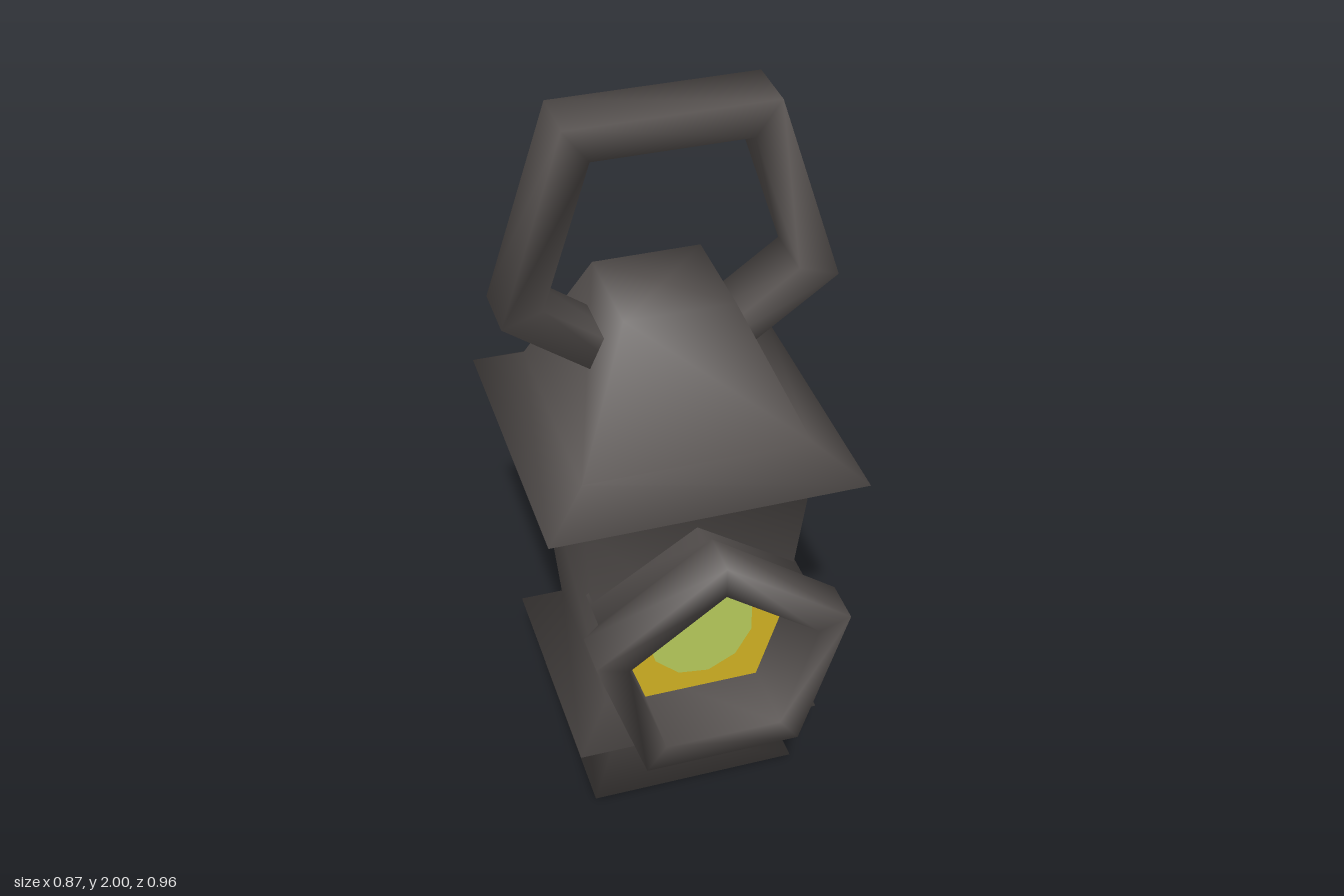
import * as THREE from 'three';
import { mergeVertices } from 'three/addons/utils/BufferGeometryUtils.js';

const iron = new THREE.MeshStandardMaterial({ color: 0x585351 });
iron.name = 'dark iron';
const amber = new THREE.MeshStandardMaterial({ color: 0xcfb022 });
amber.name = 'amber glass';
const glow = new THREE.MeshStandardMaterial({ color: 0xb6c95a });
glow.name = 'green glow';

// Few-sided turned form with welded, fully smooth normals
function turned(profile, sides, phiStart) {
  const g = new THREE.LatheGeometry(profile.map(([r, y]) => new THREE.Vector2(r, y)), sides, phiStart);
  g.deleteAttribute('uv');
  g.deleteAttribute('normal');
  const welded = mergeVertices(g, 1e-4);
  welded.computeVertexNormals();
  return welded;
}

export function createModel() {
  const model = new THREE.Group();
  const add = (name, geometry, material, x, y, z) => {
    const mesh = new THREE.Mesh(geometry, material);
    mesh.name = name;
    mesh.position.set(x, y, z);
    model.add(mesh);
    return mesh;
  };

  // Square body: foot, lower ledge, tapered housing, eaves and roof (half width, height)
  const body = [
    [0, 0], [0.29, 0], [0.2, 0.14], [0.34, 0.23], [0.24, 0.32],
    [0.302, 0.985], [0.42, 1.06], [0.302, 1.14], [0.145, 1.49], [0, 1.49],
  ].map(([w, y]) => [w * Math.SQRT2, y]);
  add('lanternBody', turned(body, 4, Math.PI / 4), iron, 0, 0, -0.058);

  // Five-sided carrying ring, its lowest corner sunk in the roof
  const ring = [[0.347, -0.08], [0.459, -0.08], [0.459, 0.08], [0.347, 0.08], [0.347, -0.08]];
  add('carryingRing', turned(ring, 5, 0).rotateX(Math.PI / 2), iron, 0, 1.629, -0.05);

  // Five-sided window frame with a flared rim and a deep recess
  const frame = [
    [0.267, 0.18], [0.3, 0.18], [0.3, 0.3], [0.357, 0.36],
    [0.357, 0.48], [0.267, 0.48], [0.267, 0.18],
  ];
  add('windowFrame', turned(frame, 5, Math.PI).rotateX(Math.PI / 2), iron, 0, 0.628, 0);

  // Glass pane and the glow at its centre
  add('windowPane', new THREE.CircleGeometry(0.268, 5, Math.PI / 2), amber, 0, 0.628, 0.285);
  const spot = add('windowGlow', new THREE.CircleGeometry(0.155, 11, 0.3), glow, -0.005, 0.63, 0.29);
  spot.scale.set(0.96, 1.06, 1);

  return model;
}
